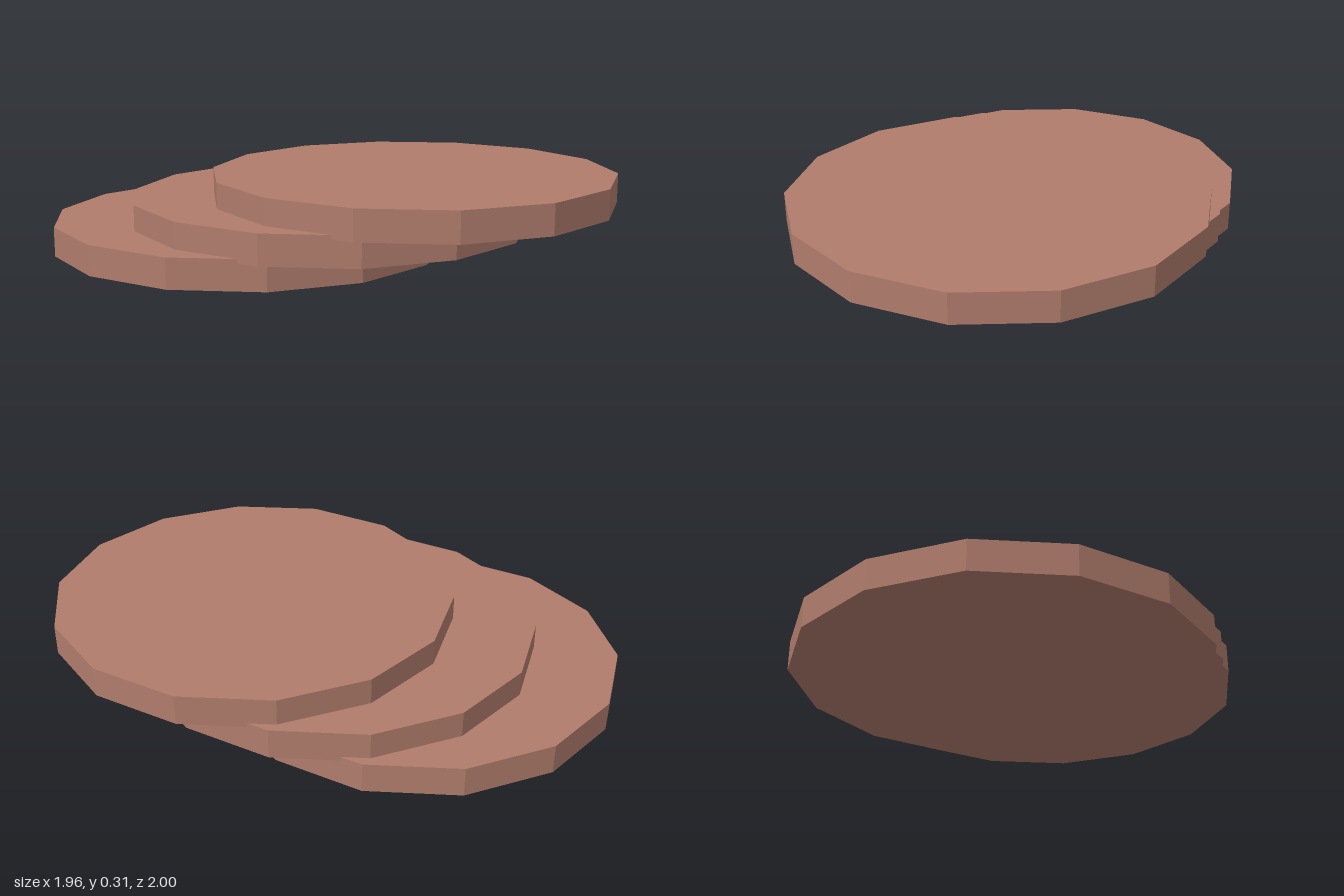
import * as THREE from 'three';

export function createModel() {
  const model = new THREE.Group();
  model.name = 'steppedDiscs';

  const clay = new THREE.MeshStandardMaterial({ color: 0xb07c6c });
  clay.name = 'clay brown';
  clay.flatShading = true;

  // Three equal fourteen-sided discs, each shifted diagonally and slightly sunk into the next
  const radius = 0.773, thickness = 0.112, rise = 0.097, shift = 0.226;
  const disc = new THREE.CylinderGeometry(radius, radius, thickness, 14);

  ['lowerDisc', 'middleDisc', 'upperDisc'].forEach((name, i) => {
    const mesh = new THREE.Mesh(disc, clay);
    mesh.name = name;
    mesh.position.set((i - 1) * shift, thickness / 2 + i * rise, (i - 1) * shift);
    model.add(mesh);
  });

  return model;
}
